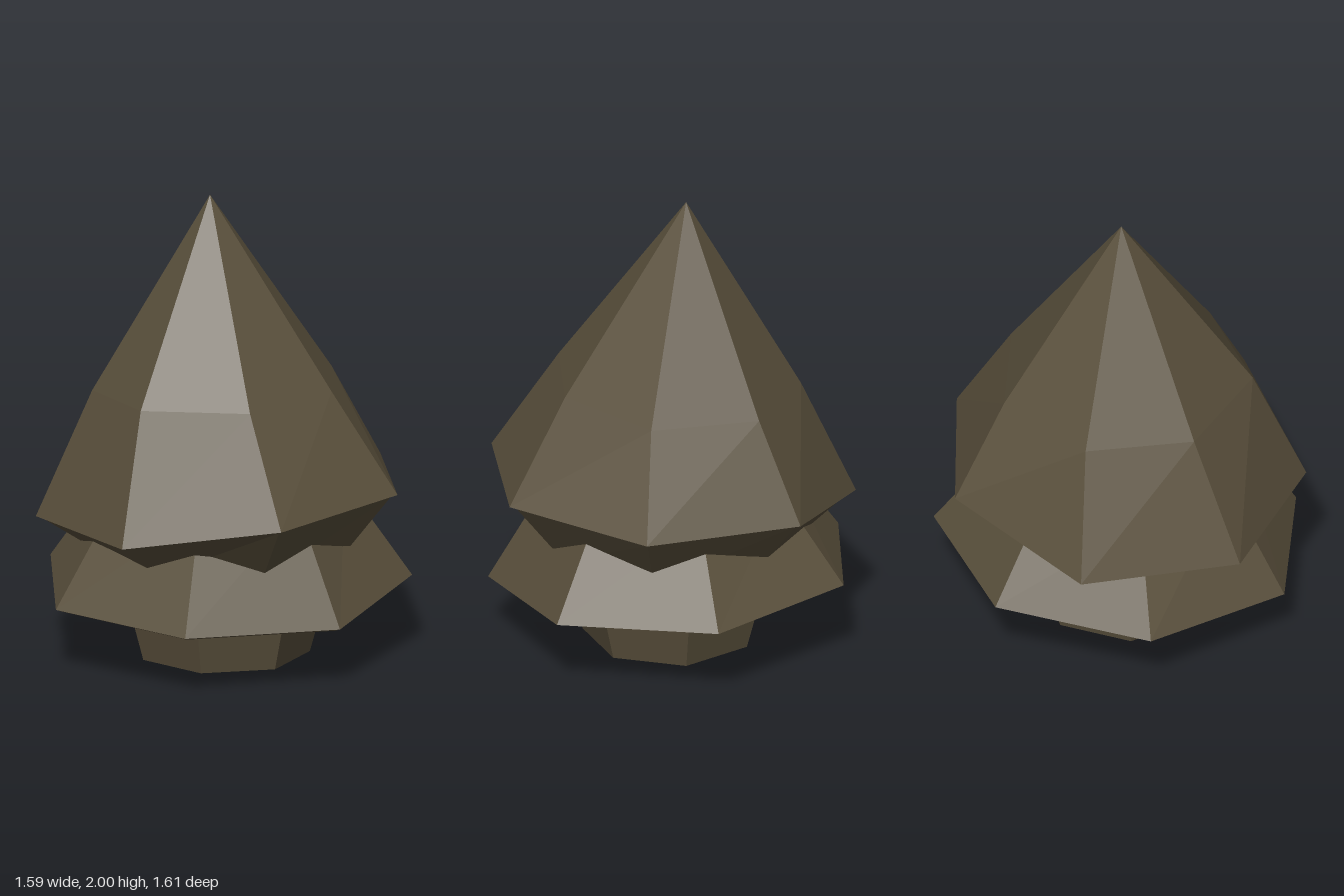
import * as THREE from 'three';

// Skin a stack of rings, listed bottom to top, and close both ends.
function loft(rings) {
  const pos = [];
  const tri = (a, b, c) => pos.push(...a, ...b, ...c);
  const mid = (r) => [0, 1, 2].map((k) => r.reduce((s, p) => s + p[k], 0) / r.length);
  const n = rings[0].length;
  const low = rings[0], high = rings[rings.length - 1];
  const lowMid = mid(low), highMid = mid(high);
  for (let i = 0; i < n; i++) {
    const j = (i + 1) % n;
    for (let r = 0; r < rings.length - 1; r++) {
      const a = rings[r], b = rings[r + 1];
      tri(a[i], b[i], a[j]);
      tri(b[i], b[j], a[j]);
    }
    tri(lowMid, low[i], low[j]);
    tri(highMid, high[j], high[i]);
  }
  const g = new THREE.BufferGeometry();
  g.setAttribute('position', new THREE.Float32BufferAttribute(pos, 3));
  g.computeVertexNormals();
  return g;
}

// Copy of a ring scaled towards the axis; height is given per point.
const shrink = (ring, s, height) => ring.map(([x, y, z]) => [x * s, height(y), z * s]);

// Regular seven-sided ring with one corner at the back.
const heptagon = (radius, y) => Array.from({ length: 7 }, (_, i) => {
  const a = (i * Math.PI * 2) / 7;
  return [Math.sin(a) * radius - 0.005, y, -Math.cos(a) * radius - 0.005];
});

export function createModel() {
  const brown = new THREE.MeshStandardMaterial({ color: 0x5a503c });
  brown.flatShading = true;
  const group = new THREE.Group();
  const add = (name, rings) => {
    const mesh = new THREE.Mesh(loft(rings), brown);
    mesh.name = name;
    group.add(mesh);
  };

  // Tapered trunk
  add('trunk', [heptagon(0.37, 0), heptagon(0.43, 0.22)]);

  // Lower skirt of foliage with a wavering rim
  const lowerRim = [
    [-0.06, 0.36, -0.81], [0.59, 0.345, -0.55], [0.79, 0.325, 0.12], [0.37, 0.26, 0.67],
    [-0.31, 0.27, 0.72], [-0.77, 0.28, 0.21], [-0.66, 0.33, -0.47],
  ];
  add('lowerFoliage', [
    shrink(lowerRim, 0.58, () => 0.205),
    shrink(lowerRim, 0.96, (y) => y - 0.012),
    lowerRim,
    shrink(lowerRim, 0.64, () => 0.74),
  ]);

  // Upper cone of foliage, tilted rim and slightly bulged sides
  const upperRim = [
    [0.24, 0.75, -0.76], [0.73, 0.755, -0.28], [0.67, 0.765, 0.41], [0.09, 0.74, 0.80],
    [-0.55, 0.63, 0.55], [-0.80, 0.615, -0.08], [-0.44, 0.62, -0.67],
  ];
  const upperWaist = [
    [0.18, 1.17, -0.53], [0.50, 1.18, -0.18], [0.41, 1.20, 0.28], [0.01, 1.19, 0.52],
    [-0.43, 1.18, 0.35], [-0.55, 1.15, -0.11], [-0.28, 1.15, -0.49],
  ];
  const apex = upperRim.map(() => [-0.05, 2, -0.06]);
  add('upperFoliage', [
    shrink(upperRim, 0.66, () => 0.45),
    shrink(upperRim, 0.96, (y) => y - 0.012),
    upperRim,
    upperWaist,
    apex,
  ]);

  return group;
}
